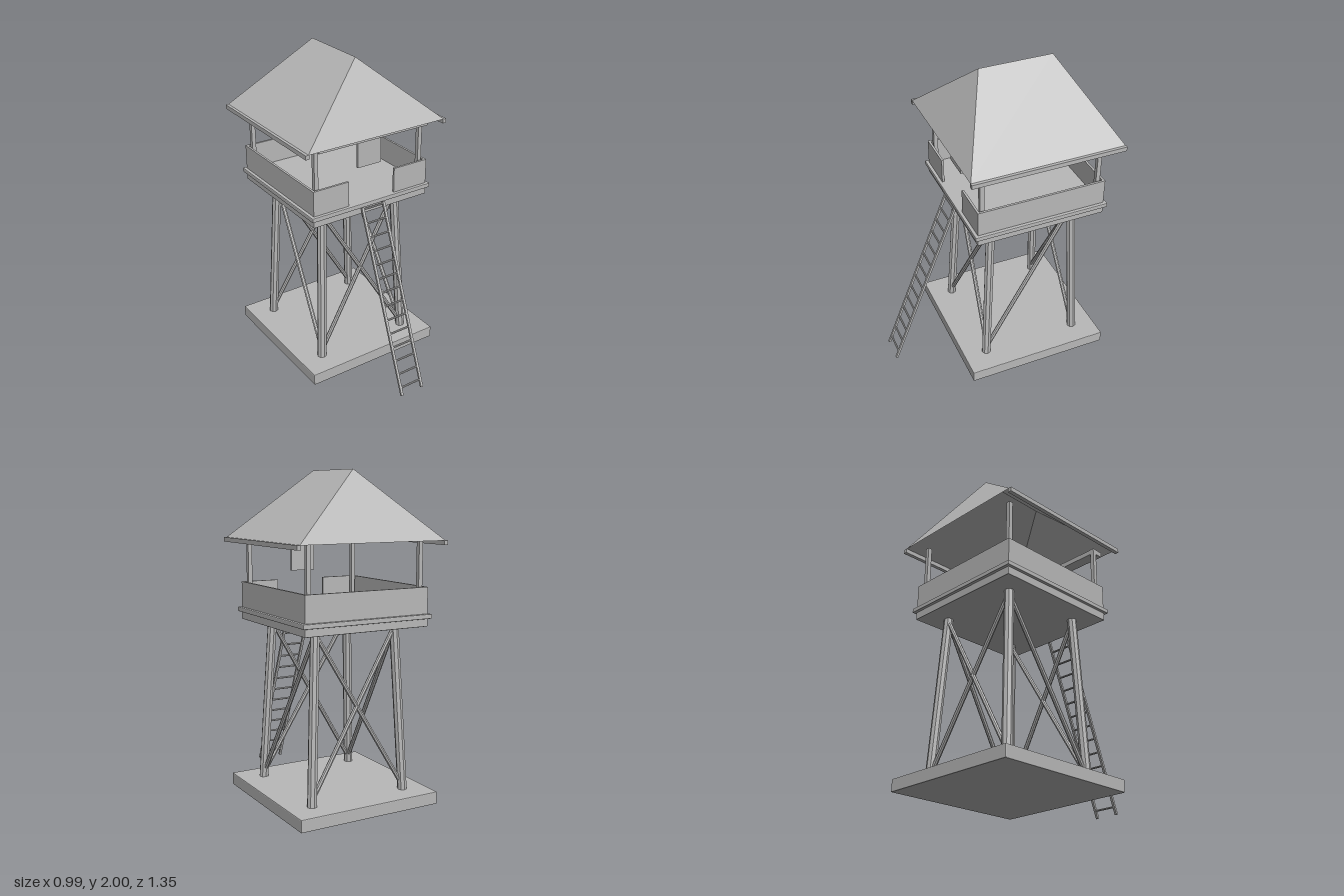
import * as THREE from 'three';
import { RoundedBoxGeometry } from 'three/addons/geometries/RoundedBoxGeometry.js';

const V = (x, y, z) => new THREE.Vector3(x, y, z);

export function createModel() {
  const model = new THREE.Group();
  model.name = 'watchtower';
  const grey = new THREE.MeshStandardMaterial({ color: 0xb8b8b8, flatShading: true });
  grey.name = 'plain grey';
  const greyThin = new THREE.MeshStandardMaterial({ color: 0xb8b8b8, flatShading: true, side: THREE.DoubleSide });
  greyThin.name = 'plain grey two-sided';

  // everything except the ladder is centred on the tower axis
  const tower = new THREE.Group();
  tower.name = 'tower';
  tower.position.z = -0.197;
  model.add(tower);

  function add(parent, name, geometry, material = grey) {
    const mesh = new THREE.Mesh(geometry, material);
    mesh.name = name;
    parent.add(mesh);
    return mesh;
  }
  // box given by its min and max corners
  function box(name, [x0, x1], [y0, y1], [z0, z1], bevel = 0) {
    const s = [x1 - x0, y1 - y0, z1 - z0];
    const g = bevel ? new RoundedBoxGeometry(...s, 1, bevel) : new THREE.BoxGeometry(...s);
    add(tower, name, g).position.set((x0 + x1) / 2, (y0 + y1) / 2, (z0 + z1) / 2);
  }
  // round pole between two points
  function pole(parent, name, a, b, radius, sides = 8) {
    const d = b.clone().sub(a);
    const mesh = add(parent, name, new THREE.CylinderGeometry(radius, radius, d.length(), sides));
    mesh.position.copy(a).add(b).multiplyScalar(0.5);
    mesh.quaternion.setFromUnitVectors(V(0, 1, 0), d.normalize());
  }

  // base and platform
  box('base', [-0.468, 0.468], [0, 0.077], [-0.468, 0.468], 0.005);
  box('platformFrame', [-0.412, 0.412], [1.087, 1.14], [-0.412, 0.412], 0.005);
  box('platformFloor', [-0.43, 0.43], [1.135, 1.163], [-0.43, 0.43], 0.005);

  // legs leaning inwards, and roof posts
  for (const sx of [-1, 1]) for (const sz of [-1, 1]) {
    pole(tower, 'leg', V(0.316 * sx, 0.075, 0.316 * sz), V(0.269 * sx, 1.095, 0.269 * sz), 0.029);
    const x = 0.373 * sx, z = 0.373 * sz;
    box('roofPost', [x - 0.013, x + 0.013], [1.16, 1.595], [z - 0.013, z + 0.013]);
  }

  // crossed braces front and back, single diagonals on the sides
  const low = 0.3, high = 0.268, yLow = 0.13, yHigh = 1.075;
  for (const s of [-1, 1]) {
    for (const d of [-1, 1])
      pole(tower, 'crossBrace', V(low * d, yLow, 0.31 * s), V(-high * d, yHigh, 0.27 * s), 0.014);
    pole(tower, 'sideBrace', V(0.31 * s, yLow, low), V(0.27 * s, yHigh, -high), 0.014);
  }

  // parapet with a front opening
  const wallY = [1.16, 1.322];
  box('backWall', [-0.41, 0.41], wallY, [-0.41, -0.396]);
  for (const s of [-1, 1]) {
    const sorted = (a, b) => [Math.min(a * s, b * s), Math.max(a * s, b * s)];
    box('sideWall', sorted(0.396, 0.41), wallY, [-0.396, 0.396]);
    box('frontWall', sorted(0.165, 0.41), wallY, [0.396, 0.41]);
    box('eaveBoard', sorted(0.47, 0.495), [1.568, 1.595], [-0.479, 0.479]);
  }

  // beam over the entrance with a hanging board
  box('frontBeam', [-0.385, 0.385], [1.562, 1.594], [0.362, 0.437]);
  box('boardHanger', [-0.006, 0.006], [1.54, 1.565], [0.37, 0.38]);
  box('hangingBoard', [-0.083, 0.083], [1.378, 1.544], [0.368, 0.382]);

  // hipped roof shell, open underneath
  const e = 0.478, y = 1.594, r = 0.232;
  const fl = [-e, y, e], fr = [e, y, e], bl = [-e, y, -e], br = [e, y, -e];
  const rf = [0, 2, r], rb = [0, 2, -r];
  const corners = [fl, fr, rf, br, bl, rb, fr, br, rb, fr, rb, rf, bl, fl, rf, bl, rf, rb];
  const roof = new THREE.BufferGeometry();
  roof.setAttribute('position', new THREE.Float32BufferAttribute(corners.flat(), 3));
  roof.computeVertexNormals();
  add(tower, 'roof', roof, greyThin);

  // leaning ladder
  const ladder = new THREE.Group();
  ladder.name = 'ladder';
  model.add(ladder);
  const foot = V(0, 0.008, 0.668), top = V(0, 1.132, 0.226);
  const lean = Math.atan2(top.z - foot.z, top.y - foot.y);
  for (const s of [-1, 1]) {
    const rail = add(ladder, 'ladderRail', new THREE.BoxGeometry(0.016, foot.distanceTo(top), 0.014));
    rail.position.copy(foot).add(top).multiplyScalar(0.5).setX(0.077 * s);
    rail.rotation.x = lean;
  }
  for (let i = 0; i < 14; i++) {
    const p = foot.clone().lerp(top, (0.047 + i * 0.082) / 1.124);
    pole(ladder, 'ladderRung', V(-0.075, p.y, p.z), V(0.075, p.y, p.z), 0.0065);
  }
  return model;
}
